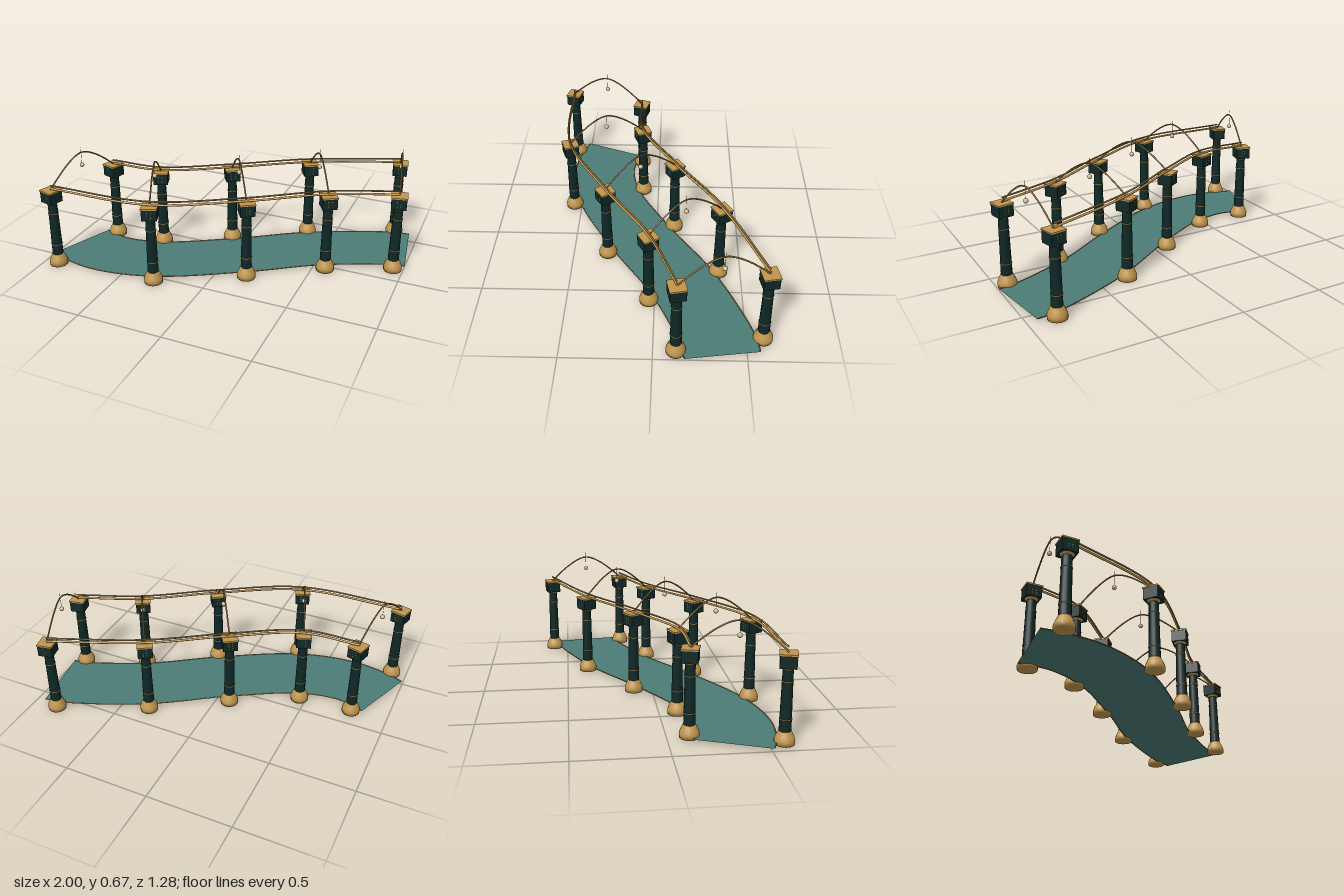
import * as THREE from 'three';

const mat = (name, color, side = THREE.FrontSide) => {
  const m = new THREE.MeshStandardMaterial({ color, side });
  m.name = name;
  return m;
};

export function createModel() {
  const gold = mat('gold', 0xc0954c);
  const bronze = mat('bronze', 0x94713a);
  const dark = mat('dark teal', 0x0e2826);
  const teal = mat('deck teal', 0x4c7c75, THREE.DoubleSide);
  const pearl = mat('pale lamp', 0xcdbb92);

  const root = new THREE.Group();
  root.name = 'colonnadeBridge';
  const add = (parent, name, geometry, material, x = 0, y = 0, z = 0) => {
    const m = new THREE.Mesh(geometry, material);
    m.name = name;
    m.position.set(x, y, z);
    parent.add(m);
    return m;
  };
  const curve = (pts) => new THREE.CatmullRomCurve3(pts.map((p) => new THREE.Vector3(...p)));
  const tube = (name, path, radius, material, segs = 80) =>
    add(root, name, new THREE.TubeGeometry(path, segs, radius, 8), material);

  // Column pairs along the winding path: [back x, back z, front x, front z]
  const pairs = [
    [-0.78, 0.118, -0.91, 0.583],
    [-0.458, 0.1, -0.29, 0.545],
    [-0.08, -0.108, 0.18, 0.292],
    [0.332, -0.37, 0.573, 0.032],
    [0.845, -0.59, 0.94, -0.122],
  ];

  // Deck ribbon, offset to both sides of a centre line
  const centre = curve([
    [-0.92, 0, 0.32], [-0.845, 0, 0.349], [-0.66, 0, 0.378], [-0.375, 0, 0.322],
    [0.05, 0, 0.092], [0.4525, 0, -0.169], [0.89, 0, -0.356], [0.975, 0, -0.368],
  ]);
  const N = 64, deckY = 0.013, half = 0.204;
  const pos = [], idx = [], edges = [[], []];
  for (let i = 0; i <= N; i++) {
    const p = centre.getPointAt(i / N), t = centre.getTangentAt(i / N);
    [-1, 1].forEach((s, k) => {
      const v = [p.x - t.z * half * s, deckY, p.z + t.x * half * s];
      pos.push(...v);
      edges[k].push(v);
    });
    if (i < N) {
      const a = 2 * i;
      idx.push(a, a + 1, a + 2, a + 1, a + 3, a + 2);
    }
  }
  const deck = new THREE.BufferGeometry();
  deck.setAttribute('position', new THREE.Float32BufferAttribute(pos, 3));
  deck.setIndex(idx);
  deck.computeVertexNormals();
  add(root, 'deck', deck, teal);
  edges.forEach((e) => tube('deckTrim', curve(e), 0.0032, bronze, 96));

  // Shared column geometries
  const baseGeo = new THREE.LatheGeometry(
    [[0, 0], [0.053, 0], [0.054, 0.022], [0.05, 0.036], [0.043, 0.052], [0.037, 0.064], [0.034, 0.072], [0, 0.072]]
      .map((p) => new THREE.Vector2(...p)), 20);
  const shaftGeo = new THREE.CylinderGeometry(0.027, 0.032, 0.335, 16);
  const ringGeo = (r) => new THREE.TorusGeometry(r, 0.0025, 6, 20).rotateX(Math.PI / 2);
  const lowRing = ringGeo(0.0315), highRing = ringGeo(0.0285);
  const neckGeo = new THREE.CylinderGeometry(0.038, 0.029, 0.013, 16);
  const blockGeo = new THREE.BoxGeometry(0.086, 0.066, 0.086);
  const slabGeo = new THREE.BoxGeometry(0.092, 0.008, 0.092);
  const studGeo = new THREE.BoxGeometry(0.004, 0.005, 0.003);

  const column = (x, z, angle) => {
    const g = new THREE.Group();
    g.name = 'column';
    g.position.set(x, 0, z);
    g.rotation.y = angle;
    root.add(g);
    add(g, 'base', baseGeo, gold);
    add(g, 'shaft', shaftGeo, dark, 0, 0.235);
    add(g, 'lowerRing', lowRing, gold, 0, 0.136);
    add(g, 'upperRing', highRing, gold, 0, 0.336);
    add(g, 'neck', neckGeo, gold, 0, 0.404);
    add(g, 'capital', blockGeo, dark, 0, 0.443);
    add(g, 'topSlab', slabGeo, gold, 0, 0.48);
    // Small studs on the inner and outer faces of the capital
    for (const s of [-1, 1])
      for (const sx of [-0.01, 0.01])
        for (const sy of [0.43, 0.445, 0.46])
          add(g, 'stud', studGeo, gold, sx, sy, s * 0.0435);
  };

  for (const [bx, bz, fx, fz] of pairs) {
    const angle = Math.atan2(fx - bx, fz - bz);
    column(bx, bz, angle);
    column(fx, fz, angle);

    // Arch spanning the pair, with a hanging lamp at its crown
    const at = (t, y) => [bx + (fx - bx) * t, y, bz + (fz - bz) * t];
    tube('arch', curve([
      at(0, 0.484), at(0.12, 0.535), at(0.27, 0.59), at(0.41, 0.626), at(0.5, 0.635),
      at(0.59, 0.626), at(0.73, 0.59), at(0.88, 0.535), at(1, 0.484),
    ]), 0.0045, bronze, 40);
    const [mx, , mz] = at(0.5, 0);
    add(root, 'lampCord', new THREE.CylinderGeometry(0.001, 0.001, 0.1, 6), bronze, mx, 0.615, mz);
    add(root, 'lamp', new THREE.SphereGeometry(0.0135, 16, 12), pearl, mx, 0.558, mz);
  }

  // Paired handrails along both rows of columns
  for (const o of [0, 2]) {
    const rail = (y) => curve(pairs.map((p) => [p[o], y, p[o + 1]]));
    tube('lowerRail', rail(0.489), 0.0065, gold);
    tube('upperRail', rail(0.509), 0.005, bronze);
  }
  return root;
}
